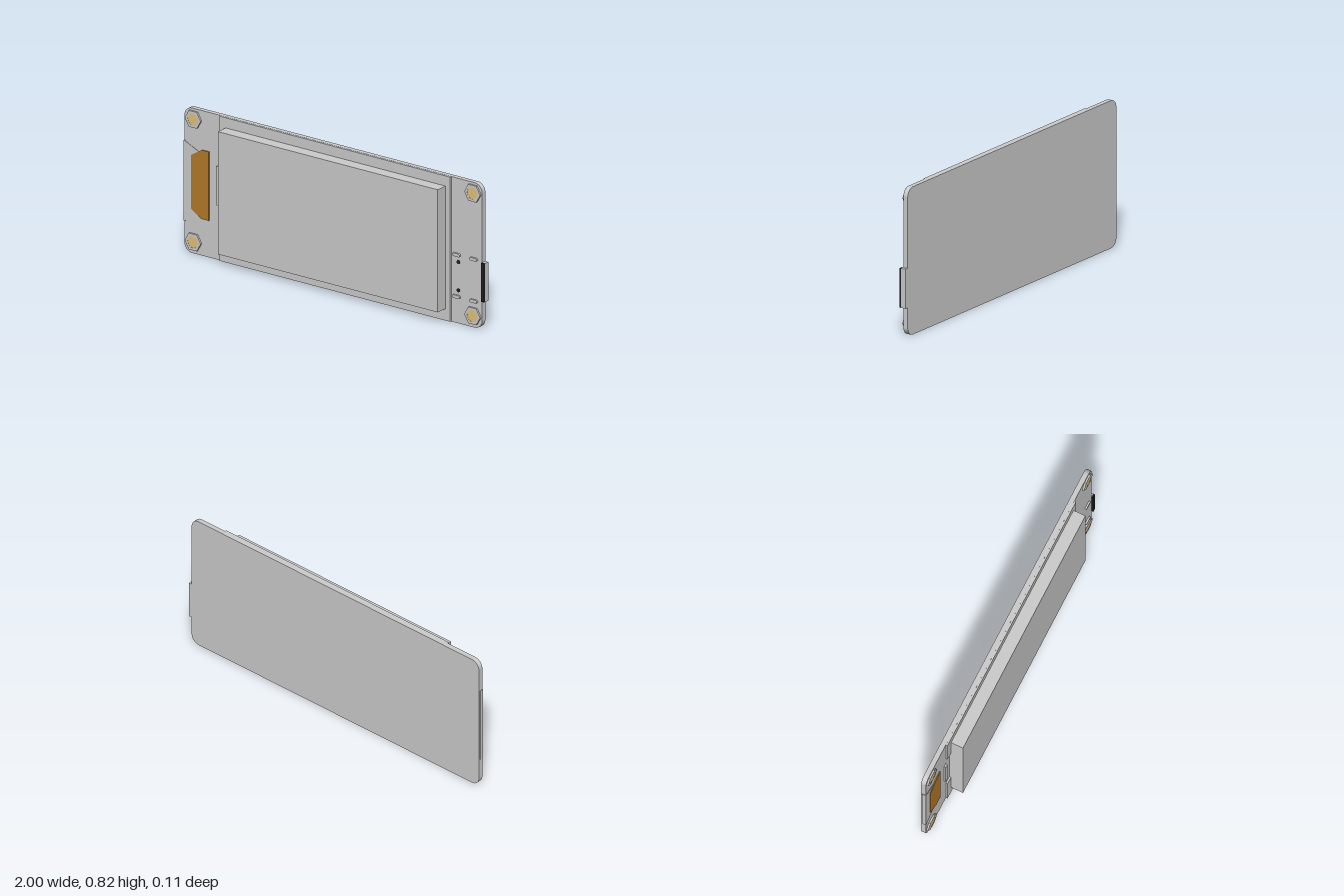
import * as THREE from 'three';

const BACK = -0.053, FACE = -0.025, TOP = -0.015;
const mat = (color) => new THREE.MeshStandardMaterial({ color });

export function createModel() {
  const model = new THREE.Group();
  model.name = 'displayModule';
  const grey = mat(0xcccccc), black = mat(0x202020);
  const gold = mat(0xe0c27a), amber = mat(0xb47a28);

  const add = (name, geometry, material = grey) => {
    const mesh = new THREE.Mesh(geometry, material);
    mesh.name = name;
    model.add(mesh);
    return mesh;
  };
  // Flat plate from a shape, between two depths
  const plate = (name, shape, z0, z1, material) => add(name,
    new THREE.ExtrudeGeometry(shape, { depth: z1 - z0, bevelEnabled: false, curveSegments: 10 })
      .translate(0, 0, z0), material);
  const polygon = (points) => new THREE.Shape(points.map(([x, y]) => new THREE.Vector2(x, y)));
  const box = (name, x0, x1, y0, y1, z0, z1, material) => add(name,
    new THREE.BoxGeometry(x1 - x0, y1 - y0, z1 - z0)
      .translate((x0 + x1) / 2, (y0 + y1) / 2, (z0 + z1) / 2), material);
  const roundRect = (x0, x1, y0, y1, r) => {
    const s = new THREE.Shape();
    s.absarc(x1 - r, y1 - r, r, 0, Math.PI / 2);
    s.absarc(x0 + r, y1 - r, r, Math.PI / 2, Math.PI);
    s.absarc(x0 + r, y0 + r, r, Math.PI, Math.PI * 1.5);
    s.absarc(x1 - r, y0 + r, r, Math.PI * 1.5, Math.PI * 2);
    s.closePath();
    return s;
  };

  // Circuit board with rounded corners
  plate('board', roundRect(-0.997, 0.98, 0, 0.818, 0.05), BACK, FACE);

  // Display frame, notched on its left edge, and the raised screen
  plate('screenFrame', polygon([
    [-0.758, 0.001], [0.775, 0.001], [0.775, 0.817], [-0.758, 0.817],
    [-0.758, 0.605], [-0.715, 0.6], [-0.715, 0.225], [-0.758, 0.225],
  ]), FACE, TOP);
  box('screen', -0.715, 0.745, 0.068, 0.76, TOP - 0.005, 0.055);
  plate('cableSocket', roundRect(-0.78, -0.757, 0.31, 0.53, 0.004), FACE, TOP);

  // Flex cable: grey fold around the board edge and amber ribbon
  plate('cableFold', polygon([
    [-1, 0.172], [-0.9, 0.22], [-0.88, 0.212], [-0.88, 0.595], [-0.9, 0.582], [-1, 0.627],
  ]), FACE - 0.001, -0.0225);
  box('cableEdge', -1, -0.99, 0.172, 0.627, -0.045, -0.0225);
  plate('ribbonCable', polygon([
    [-0.95, 0.25], [-0.88, 0.208], [-0.832, 0.208], [-0.832, 0.597], [-0.88, 0.597], [-0.95, 0.553],
  ]), FACE, -0.019, amber);

  // Hexagonal standoffs with brass cores
  for (const x of [-0.935, 0.921]) for (const y of [0.066, 0.758]) {
    const hex = [];
    for (let i = 0; i < 6; i++) {
      const a = i * Math.PI / 3;
      hex.push([x + 0.053 * Math.cos(a), y + 0.053 * Math.sin(a)]);
    }
    const shape = polygon(hex);
    shape.holes.push(new THREE.Path().absarc(x, y, 0.033, 0, Math.PI * 2, true));
    plate('standoff', shape, FACE, TOP);
    const core = new THREE.Shape();
    core.absarc(x, y, 0.033, 0, Math.PI * 2);
    plate('standoffCore', core, FACE, TOP - 0.001, gold);
  }

  // Socket on the right edge
  box('portBase', 0.95, 1, 0.16, 0.378, BACK + 0.001, FACE);
  box('portShell', 0.979, 1, 0.16, 0.378, FACE, TOP, black);

  // Solder tabs and locating pins of the socket
  for (const x of [0.812, 0.926]) for (const y of [0.15, 0.386])
    plate('solderTab', roundRect(x - 0.025, x + 0.025, y - 0.009, y + 0.009, 0.008), FACE, TOP);
  for (const y of [0.186, 0.345])
    add('locatingPin', new THREE.CylinderGeometry(0.011, 0.011, 0.004, 20)
      .rotateX(Math.PI / 2).translate(0.822, y, FACE), black);

  return model;
}
